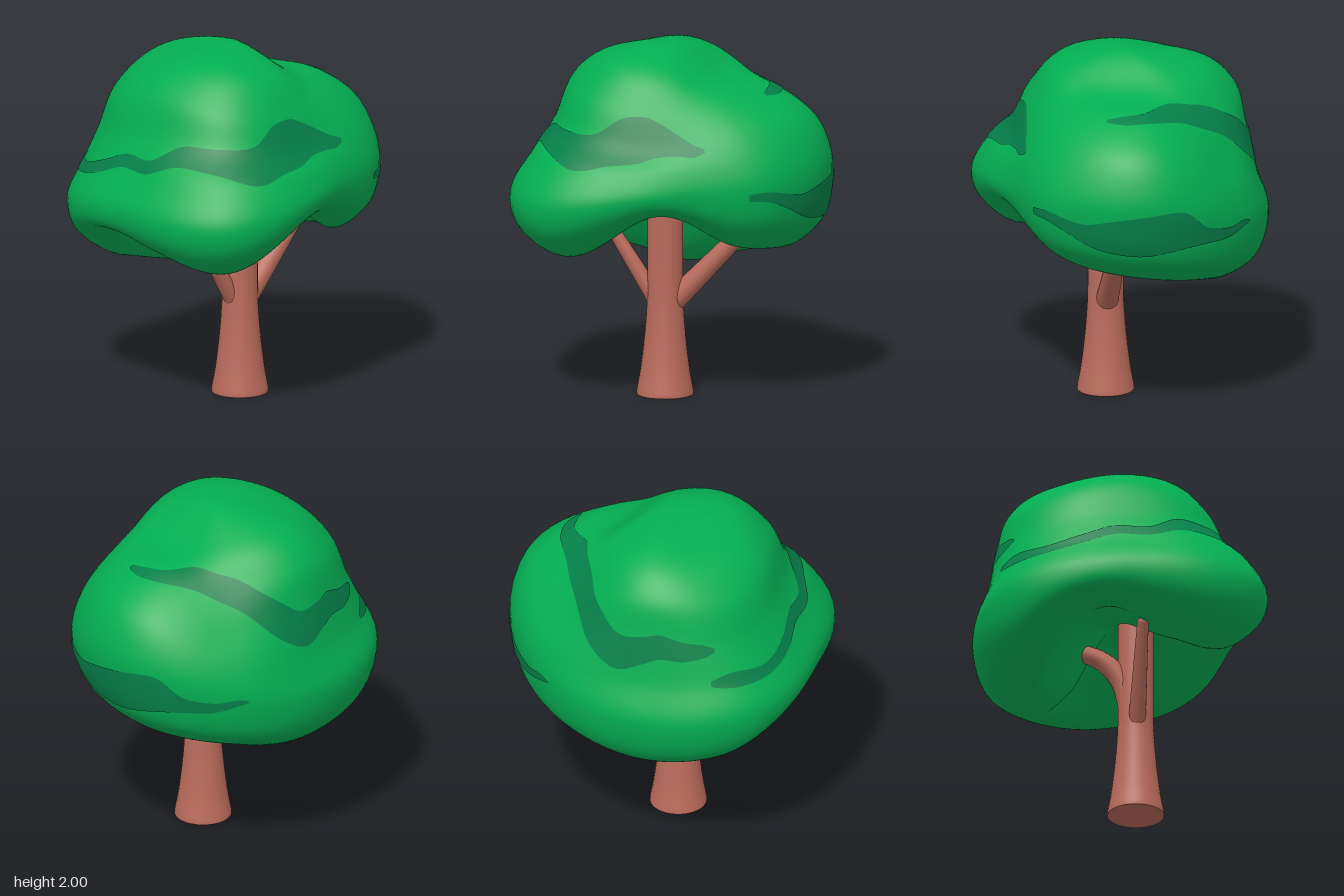
import * as THREE from 'three';
import { mergeVertices } from 'three/addons/utils/BufferGeometryUtils.js';

const leafGreen = new THREE.MeshStandardMaterial({ color: 0x04ae53 });
leafGreen.name = 'leafGreen';
const shadeGreen = new THREE.MeshStandardMaterial({ color: 0x058049 });
shadeGreen.name = 'shadeGreen';
const barkBrown = new THREE.MeshStandardMaterial({ color: 0xb96b5b });
barkBrown.name = 'barkBrown';

// Canopy profiles [radius, height], every 45 degrees from +x towards +z:
// shoulder, upper, waist, brow, widest, lower, bottom, inner wall
const PROFILES = [
  [[.36, 1.89], [.52, 1.70], [.62, 1.50], [.71, 1.38], [.755, 1.25], [.71, 1.16], [.58, 1.115], [.35, 1.16]],
  [[.39, 1.94], [.60, 1.75], [.71, 1.54], [.87, 1.38], [.985, 1.18], [.93, .98], [.70, .85], [.38, 1.00]],
  [[.36, 1.95], [.57, 1.80], [.67, 1.56], [.765, 1.39], [.88, 1.19], [.83, 1.02], [.64, .96], [.38, 1.07]],
  [[.42, 1.91], [.65, 1.73], [.75, 1.49], [.83, 1.31], [.92, 1.10], [.85, .87], [.62, .76], [.38, .95]],
  [[.42, 1.93], [.62, 1.77], [.685, 1.54], [.74, 1.28], [.81, 1.04], [.73, .79], [.48, .65], [.27, .76]],
  [[.36, 1.88], [.55, 1.70], [.69, 1.49], [.79, 1.30], [.82, 1.10], [.75, .87], [.50, .74], [.30, .90]],
  [[.30, 1.83], [.56, 1.76], [.78, 1.61], [.875, 1.42], [.885, 1.22], [.82, .99], [.60, .84], [.34, 1.00]],
  [[.30, 1.84], [.50, 1.75], [.68, 1.60], [.79, 1.42], [.82, 1.25], [.76, 1.05], [.56, .92], [.34, 1.05]],
].map((p) => [[-p[0][0], p[0][1]], [0, 2], ...p, [0, 1.17], [-p[7][0], p[7][1]]]);

// Local changes: azimuth, its reach, t, its reach, added radius, added height
const DENTS = [
  [111, 32, 7, 1.9, 0, .11], // notch in the rim beside the low lobe
  [336, 30, 5, 3, -.045, 0], // valley behind the right lobe
];

// Smooth blend of four neighbouring points
function blend(a, b, c, d, u) {
  return b.map((_, i) => b[i] + 0.5 * u * (c[i] - a[i]
    + u * (2 * a[i] - 5 * b[i] + 4 * c[i] - d[i]
    + u * (3 * (b[i] - c[i]) + d[i] - a[i]))));
}

// Canopy [radius, height] at an azimuth in degrees; t runs 0 (top) to 9 (underside centre)
function section(az, t) {
  const k = Math.floor(az / 45);
  const s = Math.min(Math.floor(t), 8);
  const at = (n) => {
    const p = PROFILES[(n + 16) % 8];
    return blend(p[s], p[s + 1], p[s + 2], p[s + 3], t - s);
  };
  let [r, y] = blend(at(k - 1), at(k), at(k + 1), at(k + 2), az / 45 - k);
  for (const [az0, azReach, t0, tReach, dr, dy] of DENTS) {
    const u = ((az - az0 + 540) % 360 - 180) / azReach, v = (t - t0) / tReach;
    const w = Math.max(0, 1 - u * u) ** 2 * Math.max(0, 1 - v * v) ** 2;
    r += w * dr;
    y += w * dy;
  }
  return [r, y];
}

function surfacePoint(az, t) {
  const [r, y] = section(az, t);
  const a = THREE.MathUtils.degToRad(az);
  return new THREE.Vector3(r * Math.cos(a), y, r * Math.sin(a));
}

// Point on the outer canopy at a given height
function pointAtHeight(az, y) {
  let lo = 0, hi = 7;
  for (let i = 0; i < 24; i++) {
    const mid = (lo + hi) / 2;
    if (section(az, mid)[1] > y) lo = mid; else hi = mid;
  }
  return surfacePoint(az, lo);
}

// Surface from a grid of points, welded so that its normals are smooth
function grid(rows, cols, fn) {
  const pos = [], index = [];
  for (let i = 0; i <= rows; i++)
    for (let j = 0; j <= cols; j++) pos.push(...fn(i, j).toArray());
  for (let i = 0; i < rows; i++)
    for (let j = 0; j < cols; j++) {
      const a = i * (cols + 1) + j, c = a + cols + 1;
      index.push(a, a + 1, c, a + 1, c + 1, c);
    }
  let g = new THREE.BufferGeometry();
  g.setAttribute('position', new THREE.Float32BufferAttribute(pos, 3));
  g.setIndex(index);
  g = mergeVertices(g, 1e-5);
  g.computeVertexNormals();
  return g;
}

// Painted bands: [azimuth, height, half width]
const BANDS = {
  frontBand: [[-24, 1.5, .01], [-18, 1.5, .035], [-11, 1.525, .055], [0, 1.55, .09], [9, 1.55, .12], [21, 1.535, .12],
    [33, 1.475, .09], [49, 1.5, .06], [67, 1.51, .05], [82, 1.43, .035], [97, 1.43, .035], [111, 1.36, .035],
    [125, 1.31, .03], [140, 1.31, .04], [149, 1.3, .015]],
  upperBackBand: [[146, 1.48, .01], [151, 1.48, .035], [160, 1.48, .055], [170, 1.5, .07], [178, 1.47, .08],
    [190, 1.44, .1], [203, 1.53, .11], [218, 1.655, .08], [232, 1.71, .06], [247, 1.75, .04], [265, 1.755, .02],
    [280, 1.75, .015], [289, 1.745, .005]],
  lowerBackBand: [[221, 1.13, .005], [226, 1.13, .02], [235, 1.11, .03], [247, 1.13, .05], [257, 1.18, .11],
    [272, 1.16, .12], [285, 1.155, .095], [293, 1.16, .065], [300, 1.19, .045], [310, 1.235, .03], [319, 1.24, .02]],
};

function bandGeometry(keys) {
  const steps = 8, last = keys.length - 1, core = new THREE.Vector3(0, 1.3, 0);
  return grid(8, last * steps, (i, j) => {
    const k = Math.min(Math.floor(j / steps), last - 1);
    const key = (n) => keys[THREE.MathUtils.clamp(n, 0, last)];
    const [az, y, half] = blend(key(k - 1), key(k), key(k + 1), key(k + 2), j / steps - k);
    const p = pointAtHeight(az, y + Math.max(half, .003) * (1 - i / 4));
    return p.sub(core).multiplyScalar(1.007).add(core);
  });
}

// Tube that narrows evenly from its start to its end
function taperedTube(path, startRadius, endRadius) {
  const rings = 20, sides = 16;
  const g = new THREE.TubeGeometry(path, rings, startRadius, sides);
  const pos = g.attributes.position, v = new THREE.Vector3();
  for (let i = 0; i < pos.count; i++) {
    const u = Math.floor(i / (sides + 1)) / rings;
    const scale = THREE.MathUtils.lerp(1, endRadius / startRadius, u);
    const centre = path.getPointAt(u);
    v.fromBufferAttribute(pos, i).sub(centre).multiplyScalar(scale).add(centre);
    pos.setXYZ(i, v.x, v.y, v.z);
  }
  return g;
}

export function createModel() {
  const model = new THREE.Group();
  model.name = 'tree';
  const add = (name, geometry, material, parent = model) => {
    const mesh = new THREE.Mesh(geometry, material);
    mesh.name = name;
    parent.add(mesh);
    return mesh;
  };

  // Lobed canopy with a hollow underside
  const cols = 96, rows = 90;
  add('canopy', grid(rows, cols, (i, j) => surfacePoint((j % cols) * 360 / cols, i * 9 / rows)), leafGreen);
  for (const [name, keys] of Object.entries(BANDS)) add(name, bandGeometry(keys), shadeGreen);

  // Flared trunk with a flat base
  const outline = new THREE.SplineCurve([[.155, 0], [.16, .015], [.14, .13], [.12, .29], [.105, .47], [.1, .65], [.1, 1.3]]
    .map(([r, y]) => new THREE.Vector2(r, y))).getPoints(30);
  add('trunk', new THREE.LatheGeometry(outline, 32), barkBrown).position.set(.105, 0, .037);
  const base = add('trunkBase', new THREE.CircleGeometry(.155, 32), barkBrown);
  base.rotation.x = Math.PI / 2;
  base.position.set(.105, 0, .037);

  // Three branches with rounded ends
  const branches = [
    ['frontBranch', .05, .032, [[.105, .54, .09], [.105, .78, .24], [.105, 1.03, .395]]],
    ['backBranch', .065, .045, [[.105, .53, -.01], [.105, .76, -.23], [.105, 1.0, -.455]]],
    ['sideBranch', .07, .048, [[.09, .58, .037], [.025, .82, .037], [-.08, .94, .037], [-.24, 1.0, .037]]],
  ];
  for (const [name, startRadius, endRadius, points] of branches) {
    const branch = new THREE.Group();
    branch.name = name;
    model.add(branch);
    const path = new THREE.CatmullRomCurve3(points.map((p) => new THREE.Vector3(...p)));
    add(name + 'Limb', taperedTube(path, startRadius, endRadius), barkBrown, branch);
    add(name + 'Tip', new THREE.SphereGeometry(endRadius, 16, 12), barkBrown, branch).position.copy(path.getPoint(1));
  }
  return model;
}
